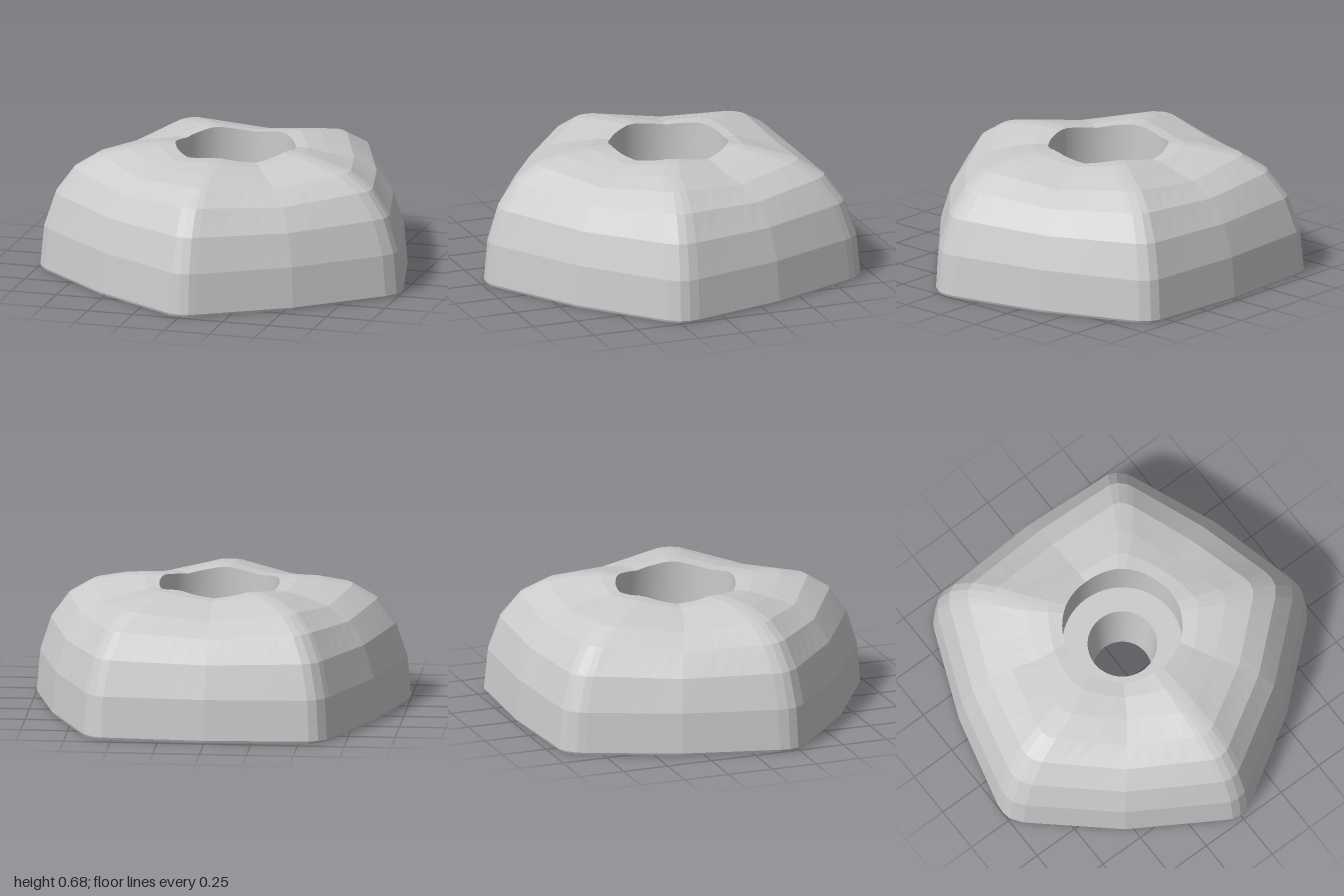
import * as THREE from 'three';

// Right half of the base outline, front to back: x, z, and 1 at the middle of a side
const HALF = [
  [0, 0.975, 0], [0.048, 0.968, 0], [0.086, 0.947, 0], [0.54, 0.668, 1],
  [0.947, 0.31, 0], [0.99, 0.25, 0], [1, 0.2, 0], [0.995, 0.144, 0],
  [0.866, -0.364, 1], [0.668, -0.84, 0], [0.647, -0.88, 0], [0.604, -0.925, 0],
  [0.556, -0.945, 0], [0, -0.978, 1],
];
const HOLE_Z = -0.067;

// Mirror the half outline and subdivide its long sides
function makeOutline() {
  const left = HALF.slice(1, -1).reverse().map(([x, z, m]) => [-x, z, m]);
  const keys = [...HALF, ...left];
  const points = [];
  keys.forEach((a, i) => {
    const b = keys[(i + 1) % keys.length];
    const n = Math.hypot(b[0] - a[0], b[1] - a[1]) > 0.2 ? 5 : 1;
    for (let k = 0; k < n; k++) points.push(a.map((v, j) => v + (b[j] - v) * k / n));
  });
  return points;
}

// Surface through a list of closed rings of equal length
function loft(rings) {
  const n = rings[0].length;
  const index = [];
  for (let r = 0; r < rings.length - 1; r++) {
    for (let i = 0; i < n; i++) {
      const j = (i + 1) % n;
      const a = r * n + i, b = r * n + j, c = b + n, d = a + n;
      index.push(a, b, c, a, c, d);
    }
  }
  const geometry = new THREE.BufferGeometry();
  geometry.setAttribute('position', new THREE.Float32BufferAttribute(rings.flat(2), 3));
  geometry.setIndex(index);
  geometry.computeVertexNormals();
  return geometry;
}

export function createModel() {
  const group = new THREE.Group();
  const outline = makeOutline();
  const smooth = new THREE.MeshStandardMaterial({ color: 0xcccccc });
  const faceted = new THREE.MeshStandardMaterial({ color: 0xcccccc, flatShading: true });

  // Scaled copy of the outline, lowered by dip at the middle of each side
  const shell = (scale, y, dip = 0) =>
    outline.map(([x, z, m]) => [x * scale, y - dip * m, z * scale]);
  // Circle around the bolt hole, matched point for point with the outline
  const circle = (radius, y, dip = 0) => outline.map(([x, z, m]) => {
    const a = Math.atan2(x, z - HOLE_Z);
    return [radius * Math.sin(a), y - dip * m, HOLE_Z + radius * Math.cos(a)];
  });
  const blend = (p, q, t) => p.map((v, i) => v.map((c, k) => c + (q[i][k] - c) * t));

  const add = (name, rings, material) => {
    const mesh = new THREE.Mesh(loft(rings), material);
    mesh.name = name;
    group.add(mesh);
  };

  // Domed five-sided body, up to the rim of the counterbore
  const rim = circle(0.32, 0.68, 0.025);
  const shoulder = shell(0.54, 0.665, 0.035);
  const crown = blend(shoulder, rim, 0.6).map(([x, y, z]) => [x, y + 0.008, z]);
  add('body', [
    shell(0.995, 0), shell(1, 0.012), shell(0.98, 0.23), shell(0.92, 0.415, 0.01),
    shell(0.823, 0.55, 0.025), shell(0.695, 0.63, 0.035), shoulder, crown, rim,
  ], faceted);

  // Stepped bolt hole
  const floorY = 0.39;
  add('counterboreWall', [rim, circle(0.32, floorY)], smooth);
  add('counterboreFloor', [circle(0.32, floorY), circle(0.185, floorY)], smooth);
  add('boltHole', [circle(0.185, floorY), circle(0.155, 0)], smooth);

  // Flat underside
  add('underside', [circle(0.155, 0), shell(0.995, 0)], smooth);

  return group;
}
